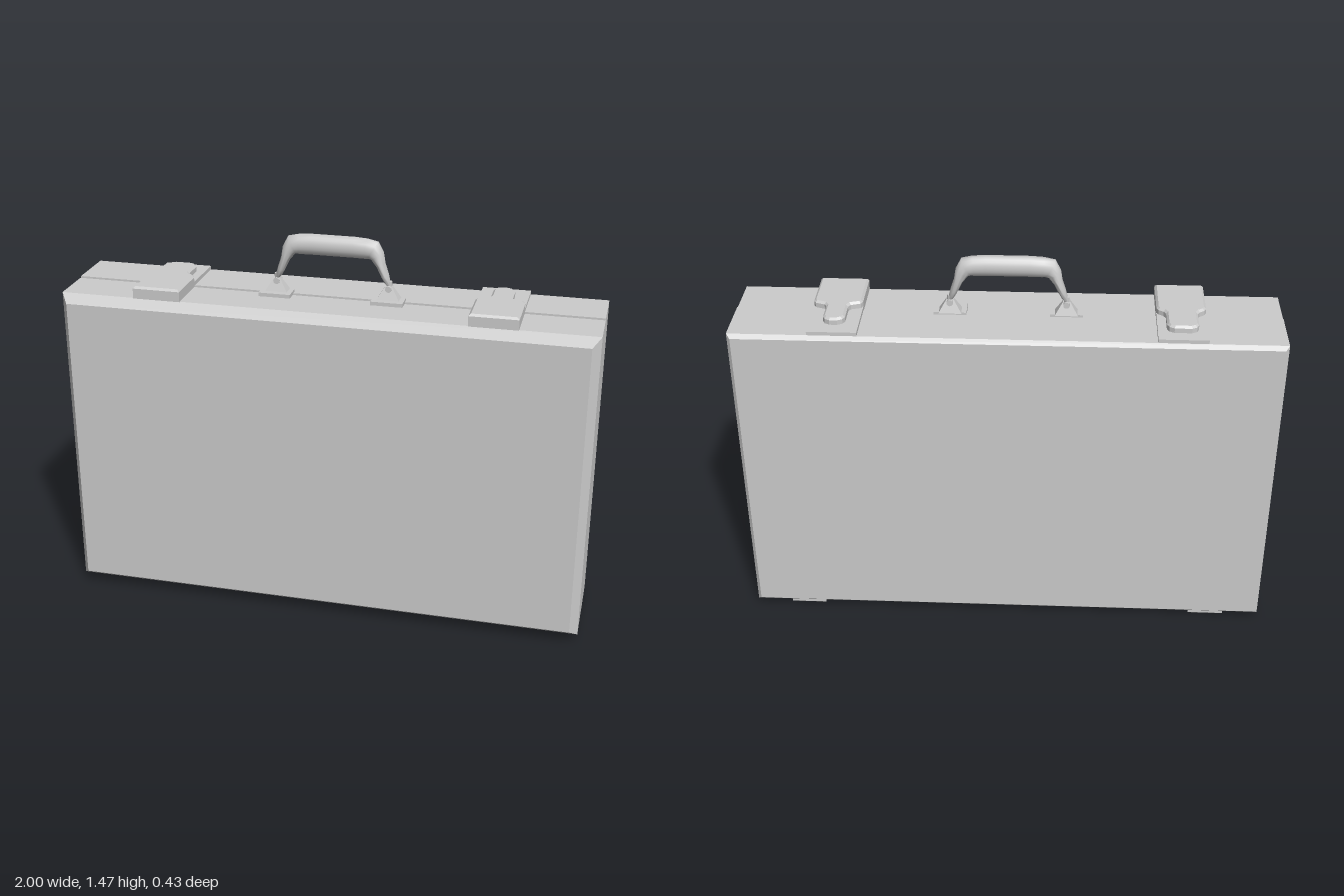
import * as THREE from 'three';
import { toCreasedNormals } from 'three/addons/utils/BufferGeometryUtils.js';

const material = new THREE.MeshStandardMaterial({ color: 0xcccccc });

function add(parent, name, geometry) {
  const mesh = new THREE.Mesh(geometry, material);
  mesh.name = name;
  parent.add(mesh);
  return mesh;
}

// Box given by its limits
function boxBetween(x0, x1, y0, y1, z0, z1) {
  const g = new THREE.BoxGeometry(x1 - x0, y1 - y0, z1 - z0);
  return g.translate((x0 + x1) / 2, (y0 + y1) / 2, (z0 + z1) / 2);
}

// Half of the case: a box whose outer (dir * z) edges are chamfered
function shell(y0, y1, depth, inset, bevel, dir) {
  const inner = 0.003, h = y1 - y0;
  const g = new THREE.BoxGeometry(2, h, 2, 1, 1, 2);
  const p = g.attributes.position;
  for (let i = 0; i < p.count; i++) {
    const layer = Math.round(p.getZ(i) * dir); // -1 seam, 0 shoulder, 1 face
    p.setZ(i, dir * [inner, depth - bevel, depth][layer + 1]);
    if (layer === 1) {
      p.setX(i, p.getX(i) - Math.sign(p.getX(i)) * inset);
      p.setY(i, p.getY(i) - Math.sign(p.getY(i)) * inset);
    }
  }
  g.translate(0, (y0 + y1) / 2, 0);
  return toCreasedNormals(g, 0.2);
}

// Plan outline (x, -z) raised along y with a small bevel on top
function raisedPlan(points, y0, y1, bevel) {
  const shape = new THREE.Shape(points.map(([x, z]) => new THREE.Vector2(x, -z)));
  const g = new THREE.ExtrudeGeometry(shape, {
    depth: y1 - y0 - bevel, bevelThickness: bevel, bevelSize: bevel,
    bevelOffset: -bevel, bevelSegments: 1,
  });
  return g.rotateX(-Math.PI / 2).translate(0, y0, 0);
}

// Sweep of ellipses along a path in the xy plane; rows are [x, y, radius, zRadius]
function sweep(rows, zc, sides = 20) {
  const pos = [], index = [];
  rows.forEach(([x, y, r, rz], i) => {
    const a = rows[Math.max(i - 1, 0)], b = rows[Math.min(i + 1, rows.length - 1)];
    const t = new THREE.Vector2(b[0] - a[0], b[1] - a[1]).normalize();
    for (let k = 0; k < sides; k++) {
      const u = (k / sides) * Math.PI * 2;
      pos.push(x - t.y * r * Math.cos(u), y + t.x * r * Math.cos(u), zc + rz * Math.sin(u));
      if (i < rows.length - 1) {
        const k2 = (k + 1) % sides, p = i * sides + k, q = i * sides + k2;
        index.push(p, p + sides, q, q, p + sides, q + sides);
      }
    }
  });
  // Fan caps
  const last = (rows.length - 1) * sides;
  for (let k = 1; k < sides - 1; k++) {
    index.push(0, k, k + 1, last, last + k + 1, last + k);
  }
  const g = new THREE.BufferGeometry();
  g.setAttribute('position', new THREE.Float32BufferAttribute(pos, 3));
  // Outward winding check by signed volume
  let volume = 0;
  const v = (n) => new THREE.Vector3(pos[n * 3], pos[n * 3 + 1], pos[n * 3 + 2]);
  for (let i = 0; i < index.length; i += 3) {
    volume += v(index[i]).dot(v(index[i + 1]).cross(v(index[i + 2])));
  }
  if (volume < 0) index.reverse();
  g.setIndex(index);
  return toCreasedNormals(g, 0.9);
}

function createLatch(halfTongue, tip) {
  const latch = new THREE.Group();
  latch.name = 'latch';
  const w = halfTongue, c = 0.026;
  const half = [[0.09, 0.175], [0.09, 0.0], [0.083, -0.015], [w + 0.008, -0.027],
    [w, -0.04], [w, tip + c], [w - 0.008, tip + 0.01], [w - c, tip]];
  const mirrored = half.map(([x, z]) => [-x, z]).reverse();
  add(latch, 'latchHasp', raisedPlan([...half, ...mirrored], 1.232, 1.28, 0.008));
  add(latch, 'latchPlate', boxBetween(-0.09, 0.09, 1.23, 1.254, -0.2, -0.003));
  return latch;
}

function createHandle() {
  const handle = new THREE.Group();
  handle.name = 'handle';
  // Grip with tapering, bent-down ends
  const half = [
    [0.212, 1.297, 0.006, 0.010], [0.205, 1.312, 0.011, 0.018], [0.196, 1.335, 0.014, 0.026],
    [0.180, 1.375, 0.017, 0.029], [0.166, 1.408, 0.027, 0.030], [0.150, 1.428, 0.038, 0.030],
    [0.125, 1.432, 0.038, 0.030], [0.08, 1.434, 0.039, 0.030],
  ];
  const left = half.map(([x, ...rest]) => [-x, ...rest]);
  add(handle, 'grip', sweep([...left, ...half.slice().reverse()], -0.008));

  for (const s of [-1, 1]) {
    // Stepped foot bracket and pivot pin
    add(handle, 'handleBase', boxBetween(s * 0.212 - 0.06, s * 0.212 + 0.06, 1.225, 1.249, -0.025, 0.045));
    const cone = new THREE.CylinderGeometry(0.018, 0.06, 0.05, 4, 1);
    cone.rotateY(Math.PI / 4).scale(1, 1, 0.6);
    add(handle, 'handleBracket', toCreasedNormals(cone, 0.3)).position.set(s * 0.212, 1.272, -0.005);
    add(handle, 'handlePin', new THREE.CylinderGeometry(0.011, 0.011, 0.05, 10))
      .position.set(s * 0.212, 1.29, -0.008);
    const pivot = new THREE.CylinderGeometry(0.012, 0.012, 0.04, 12).rotateX(Math.PI / 2);
    add(handle, 'handlePivot', pivot).position.set(s * 0.212, 1.288, -0.008);
  }
  return handle;
}

function createHinge() {
  const hinge = new THREE.Group();
  hinge.name = 'hingeFoot';
  // Thick leaf under the back half, thinner leaf under the front half
  const back = [[-0.068, -0.2], [-0.068, 0], [0.068, 0], [0.068, -0.2]];
  const leaf = raisedPlan(back, 0, 0.024, 0.007);
  leaf.rotateZ(Math.PI).translate(0, 0.024, 0);
  add(hinge, 'hingeBackLeaf', leaf);
  add(hinge, 'hingeFrontLeaf', boxBetween(-0.055, 0.055, 0.01, 0.03, 0, 0.1));
  return hinge;
}

export function createModel() {
  const model = new THREE.Group();
  model.name = 'briefcase';

  // Case halves with a narrow recessed seam
  add(model, 'frontHalf', shell(0.025, 1.235, 0.215, 0.03, 0.042, 1));
  add(model, 'backHalf', shell(0.018, 1.24, 0.215, 0.014, 0.015, -1));
  add(model, 'seamCore', boxBetween(-0.99, 0.99, 0.035, 1.225, -0.01, 0.01));

  const leftLatch = createLatch(0.04, -0.145);
  leftLatch.position.x = 0.622;
  const rightLatch = createLatch(0.057, -0.15);
  rightLatch.position.x = -0.628;
  model.add(leftLatch, rightLatch, createHandle());

  for (const s of [-1, 1]) {
    const hinge = createHinge();
    hinge.position.x = s * 0.795;
    model.add(hinge);
  }
  return model;
}
